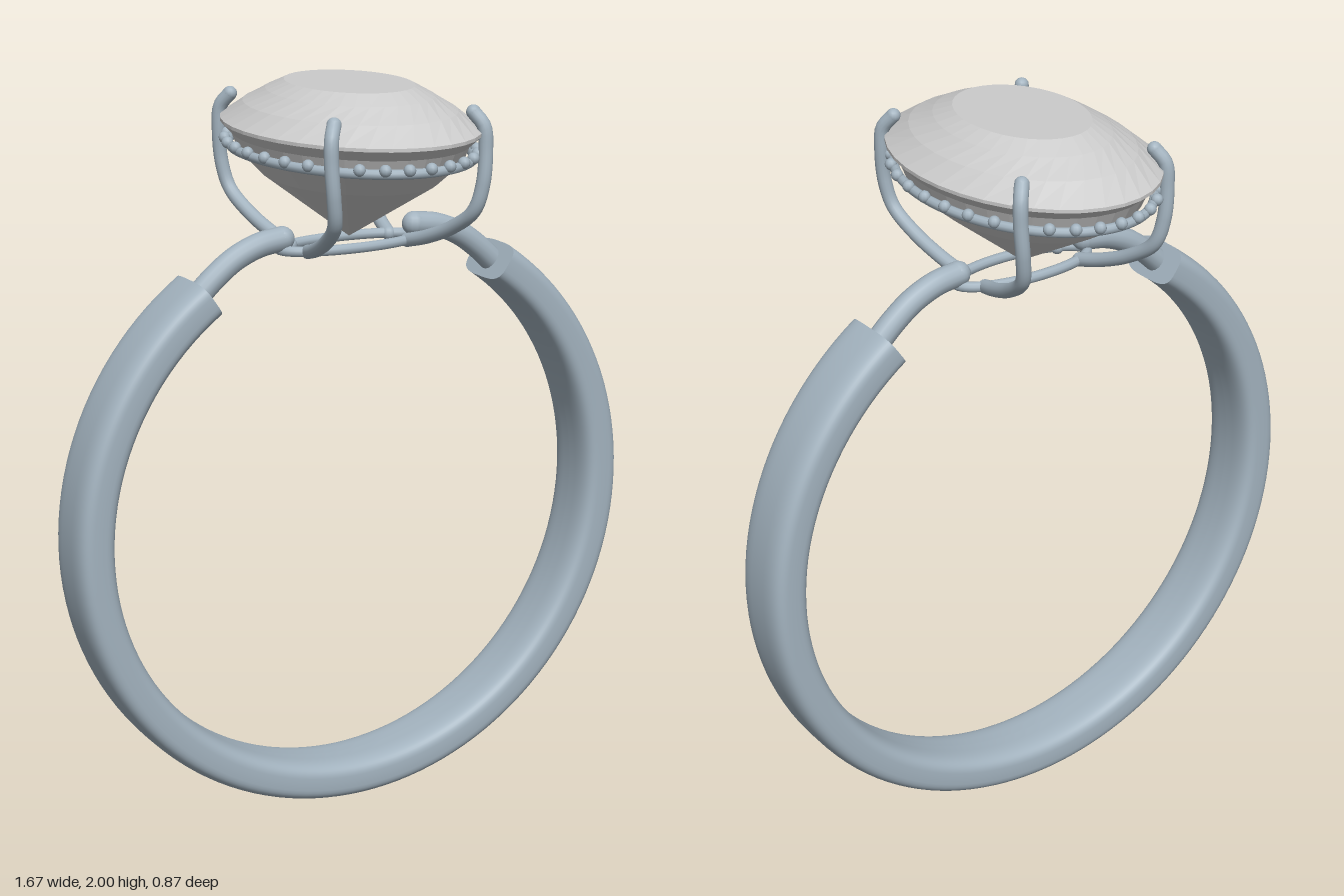
import * as THREE from 'three';

const V = (x, y, z) => new THREE.Vector3(x, y, z);
const metal = new THREE.MeshStandardMaterial({ color: 0xa3b3bf });
const metalDouble = new THREE.MeshStandardMaterial({ color: 0xa3b3bf, side: THREE.DoubleSide });
const stone = new THREE.MeshStandardMaterial({ color: 0xcccccc, flatShading: true });

function add(parent, name, geometry, material = metal) {
  const mesh = new THREE.Mesh(geometry, material);
  mesh.name = name;
  parent.add(mesh);
  return mesh;
}

// Round wire through points, with ball ends
function wire(parent, name, points, radius) {
  const group = new THREE.Group();
  group.name = name;
  parent.add(group);
  add(group, name + 'Wire', new THREE.TubeGeometry(new THREE.CatmullRomCurve3(points), 40, radius, 14));
  for (const p of [points[0], points[points.length - 1]]) {
    add(group, name + 'End', new THREE.SphereGeometry(radius, 14, 10)).position.copy(p);
  }
}

// Horizontal oval, as a list of points
function oval(a, b, y, count) {
  return Array.from({ length: count }, (_, i) => {
    const t = (i / count) * Math.PI * 2;
    return V(a * Math.cos(t), y, b * Math.sin(t));
  });
}

function ovalWire(parent, name, a, b, y, radius) {
  const curve = new THREE.CatmullRomCurve3(oval(a, b, y, 32), true);
  add(parent, name, new THREE.TubeGeometry(curve, 96, radius, 10, true));
}

// Oval stone skinned over rings [xRadius, y, twist], from culet to table
function stoneGeometry(rings, sides, stretch) {
  const pos = [], index = [];
  rings.forEach(([r, y, twist]) => {
    for (let i = 0; i < sides; i++) {
      const t = ((i + twist) / sides) * Math.PI * 2;
      pos.push(r * Math.cos(t), y, -r * stretch * Math.sin(t));
    }
  });
  for (let k = 0; k < rings.length - 1; k++) {
    for (let i = 0; i < sides; i++) {
      const j = (i + 1) % sides;
      const a = k * sides + i, b = k * sides + j, c = a + sides, d = b + sides;
      index.push(a, b, d, a, d, c);
    }
  }
  const g = new THREE.BufferGeometry();
  g.setAttribute('position', new THREE.Float32BufferAttribute(pos, 3));
  g.setIndex(index);
  const flat = g.toNonIndexed();
  flat.computeVertexNormals();
  return flat;
}

export function createModel() {
  const ring = new THREE.Group();
  ring.name = 'ring';

  // Band: softly squared section swept round an open circle
  const centreY = 0.837, end = THREE.MathUtils.degToRad(145.5);
  const section = Array.from({ length: 49 }, (_, i) => {
    const t = -Math.PI + (i / 48) * Math.PI * 2;
    const c = Math.cos(t), s = Math.sin(t), p = 2 / 3.5;
    return new THREE.Vector2(
      0.78 + 0.055 * Math.sign(c) * Math.abs(c) ** p,
      0.095 * Math.sign(s) * Math.abs(s) ** p);
  });
  const band = new THREE.Group();
  band.name = 'band';
  band.position.y = centreY;
  ring.add(band);
  add(band, 'bandArc', new THREE.LatheGeometry(section, 110, -end, end * 2).rotateX(Math.PI / 2));
  for (const phi of [-end, end]) {
    const out = V(Math.sin(phi), -Math.cos(phi), 0), axis = V(0, 0, 1);
    const cap = new THREE.ShapeGeometry(new THREE.Shape(section.slice(0, -1)));
    cap.applyMatrix4(new THREE.Matrix4().makeBasis(out, axis, out.clone().cross(axis)));
    add(band, 'bandEnd', cap, metalDouble);
  }

  // Shoulders: thinner wires from the band ends up to the setting
  for (const s of [-1, 1]) {
    wire(ring, s > 0 ? 'leftShoulder' : 'rightShoulder', [
      V(s * 0.46, 1.465, 0), V(s * 0.4, 1.52, 0), V(s * 0.34, 1.563, 0),
      V(s * 0.27, 1.592, 0), V(s * 0.2, 1.603, 0)], 0.033);
  }

  // Setting: oval base, four prongs and the beaded halo
  const setting = new THREE.Group();
  setting.name = 'setting';
  ring.add(setting);
  ovalWire(setting, 'baseOval', 0.205, 0.075, 1.573, 0.014);
  for (const sx of [-1, 1]) {
    for (const sz of [-1, 1]) {
      wire(setting, 'prong', [
        [0.15, 1.572, 0.05], [0.165, 1.592, 0.12], [0.187, 1.635, 0.22],
        [0.205, 1.69, 0.295], [0.218, 1.76, 0.315], [0.225, 1.85, 0.315],
        [0.222, 1.91, 0.31], [0.203, 1.945, 0.288],
      ].map(([x, y, z]) => V(sx * x, y, sz * z)), 0.019);
    }
  }
  ovalWire(setting, 'haloRail', 0.288, 0.412, 1.827, 0.013);
  const beads = new THREE.Group();
  beads.name = 'haloBeads';
  setting.add(beads);
  for (const p of oval(0.298, 0.422, 1.838, 32)) {
    add(beads, 'bead', new THREE.SphereGeometry(0.016, 10, 8)).position.copy(p);
  }

  // Oval stone: pointed pavilion, sharp girdle and swirling crown facets
  const profile = [
    [0, 1.59, 0], [0.21, 1.752, 0], [0.268, 1.815, 0], [0.284, 1.858, 0],
    [0.31, 1.886, 0], [0.31, 1.895, 0], [0.255, 1.94, 0.7], [0.2, 1.975, 1.6],
    [0.155, 2, 2], [0, 2, 2]];
  add(ring, 'stone', stoneGeometry(profile, 36, 1.4), stone);

  return ring;
}
